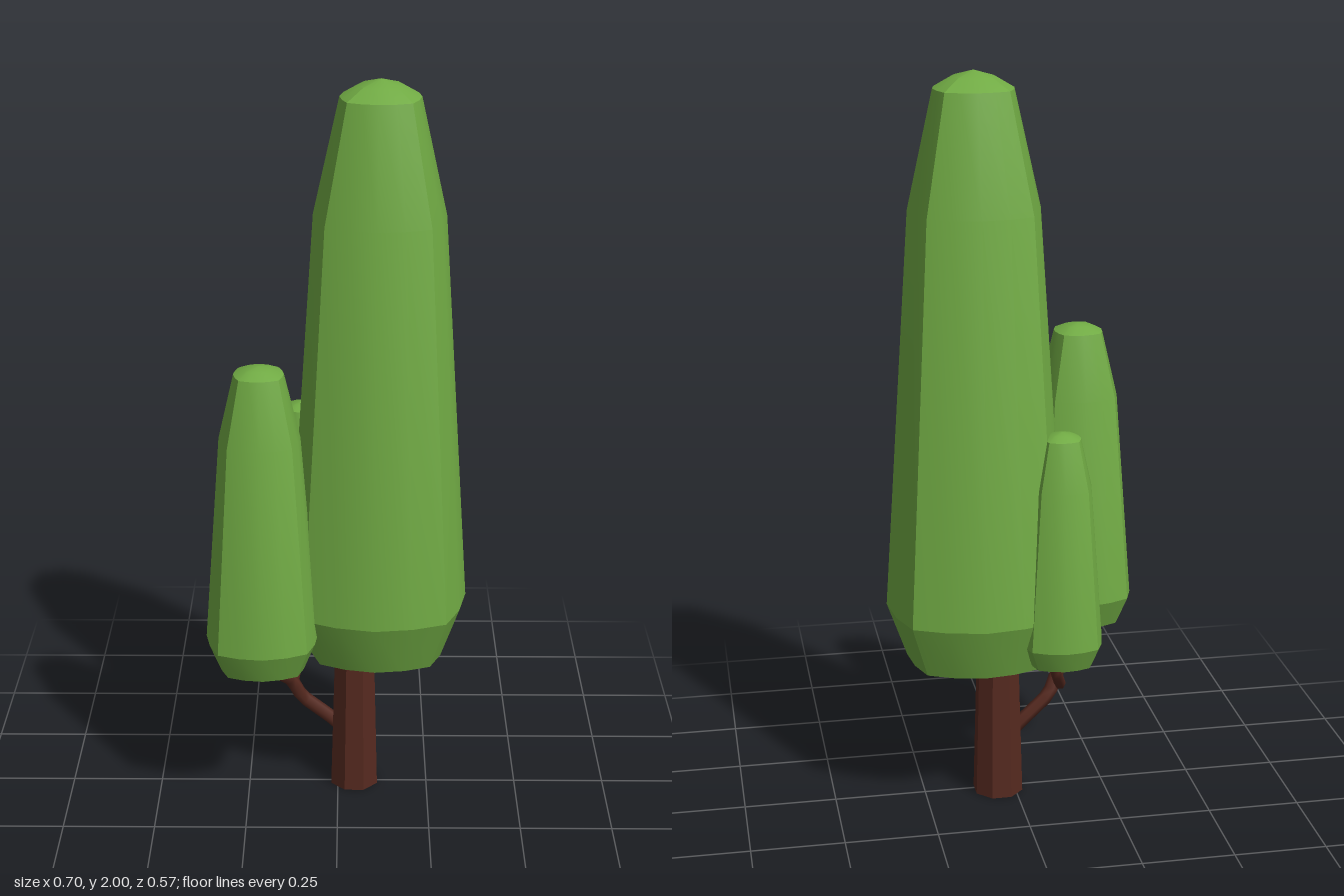
import * as THREE from 'three';
import { toCreasedNormals } from 'three/addons/utils/BufferGeometryUtils.js';

const leafMat = new THREE.MeshStandardMaterial({ color: 0x71ab44 });
const barkMat = new THREE.MeshStandardMaterial({ color: 0x55291f });

// Unit cross-section: a square with bowed sides, four points per side
const SIDE = [[-0.785, 0.785], [-0.42, 0.93], [0, 1], [0.42, 0.93]];
const SECTION = [];
for (let k = 0; k < 4; k++) {
  for (const [x, z] of SIDE) {
    SECTION.push(new THREE.Vector2(x, z).rotateAround(new THREE.Vector2(), -k * Math.PI / 2));
  }
}

// Lofts the cross-section through [halfWidth, y] rings, bottom to top
function crown(name, x, z, turn, rings) {
  const n = SECTION.length, pos = [], idx = [];
  for (const [r, y] of rings) for (const p of SECTION) pos.push(p.x * r, y, p.y * r);
  for (let i = 0; i < rings.length - 1; i++) {
    for (let j = 0; j < n; j++) {
      const a = i * n + j, b = i * n + (j + 1) % n, c = a + n, d = b + n;
      if (rings[i][0] > 0) idx.push(a, b, c);
      if (rings[i + 1][0] > 0) idx.push(b, d, c);
    }
  }
  const geo = new THREE.BufferGeometry();
  geo.setAttribute('position', new THREE.Float32BufferAttribute(pos, 3));
  geo.setIndex(idx);
  const mesh = new THREE.Mesh(toCreasedNormals(geo.toNonIndexed(), 0.38), leafMat);
  mesh.name = name;
  mesh.position.set(x, 0, z);
  mesh.rotation.y = -turn;
  return mesh;
}

// Thin limb following a short list of points
function branch(name, points, radius) {
  const curve = new THREE.CatmullRomCurve3(points.map(p => new THREE.Vector3(...p)), false, 'catmullrom', 0.15);
  const mesh = new THREE.Mesh(new THREE.TubeGeometry(curve, 14, radius, 6), barkMat);
  mesh.name = name;
  return mesh;
}

export function createModel() {
  const tree = new THREE.Group();
  tree.name = 'tree';

  // Foliage
  tree.add(
    crown('mainCrown', 0.107, -0.029, 0.04,
      [[0, 0.43], [0.19, 0.43], [0.243, 0.58], [0.172, 1.65], [0.104, 1.955], [0.055, 1.984], [0, 2]]),
    crown('frontCrown', -0.202, 0.133, -0.04,
      [[0, 0.45], [0.118, 0.45], [0.15, 0.53], [0.106, 1.1], [0.065, 1.275], [0.034, 1.29], [0, 1.297]]),
    crown('backCrown', -0.096, -0.175, 0.06,
      [[0, 0.45], [0.086, 0.45], [0.111, 0.51], [0.078, 0.94], [0.049, 1.07], [0.026, 1.081], [0, 1.087]])
  );

  // Trunk, tapering up into the main crown
  const trunkGeo = toCreasedNormals(new THREE.CylinderGeometry(0.056, 0.07, 0.5, 8), 0.5);
  const trunk = new THREE.Mesh(trunkGeo, barkMat);
  trunk.name = 'trunk';
  trunk.position.set(0.046, 0.25, -0.01);
  trunk.rotation.y = Math.PI / 8;
  tree.add(trunk);

  // Forked limb carrying the two smaller crowns
  tree.add(
    branch('frontBranch', [[0.03, 0.15, -0.01], [-0.02, 0.2, -0.01], [-0.1, 0.27, 0], [-0.13, 0.335, 0.02],
      [-0.19, 0.4, 0.08], [-0.24, 0.47, 0.12]], 0.019),
    branch('backBranch', [[-0.125, 0.32, 0.01], [-0.115, 0.335, -0.08], [-0.09, 0.4, -0.155], [-0.08, 0.47, -0.17]], 0.016)
  );
  return tree;
}
